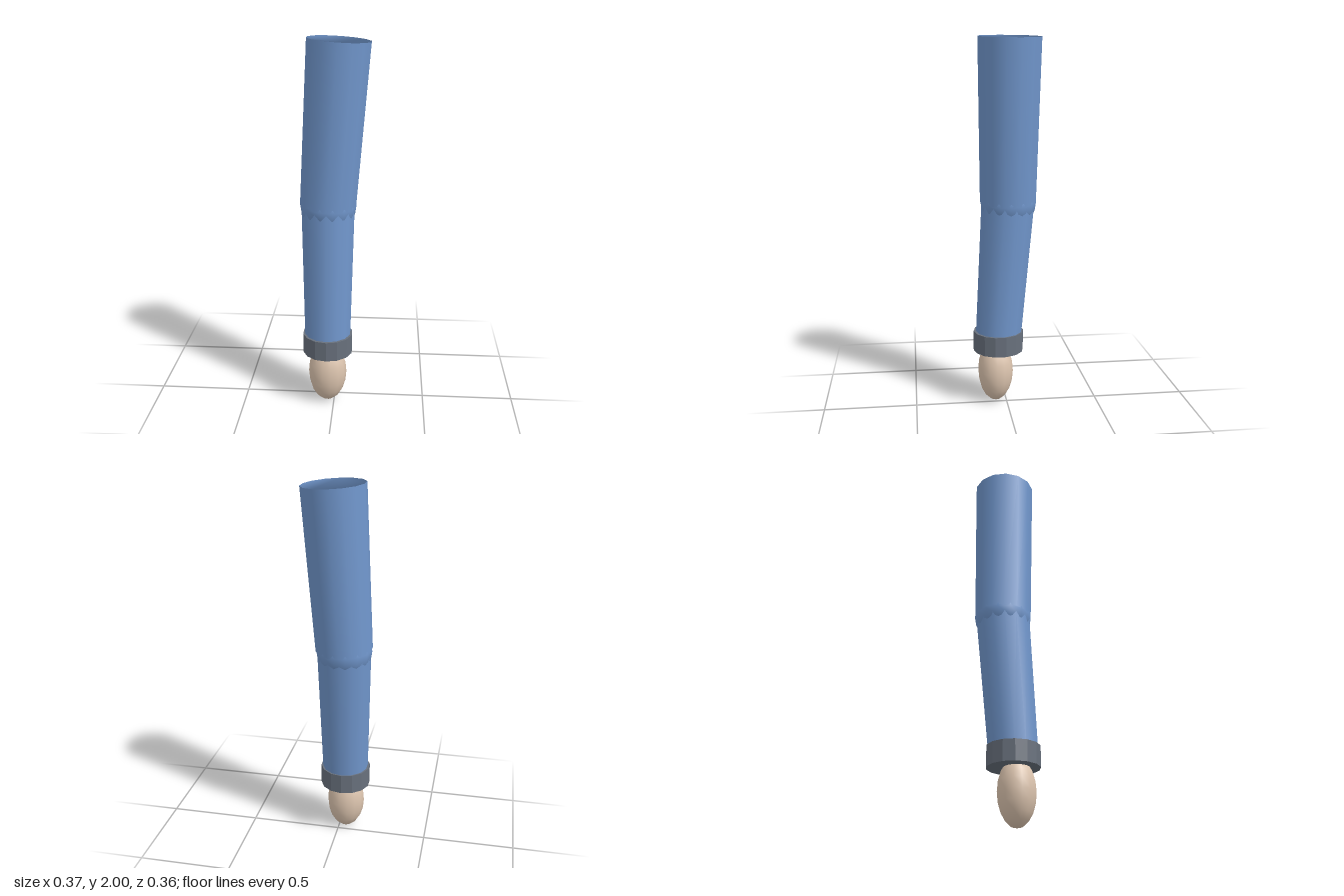
import * as THREE from 'three';

const SIDES = 14;

// Smooth tapered tube whose flat ends share the side normals
function sleeveGeometry(rTop, rBottom, length) {
  const g = new THREE.CylinderGeometry(rTop, rBottom, length, SIDES, 1, true);
  const index = Array.from(g.index.array);
  const o = SIDES + 1;
  for (let i = 1; i < SIDES - 1; i++) {
    index.push(0, i, i + 1);
    index.push(o, o + i + 1, o + i);
  }
  g.setIndex(index);
  return g;
}

export function createModel() {
  const group = new THREE.Group();
  group.name = 'arm';

  const material = (name, color) => {
    const m = new THREE.MeshStandardMaterial({ color });
    m.name = name;
    return m;
  };
  const blue = material('blue cloth', 0x7197cd);
  const grey = material('grey cuff', 0x68707c);
  grey.flatShading = true;
  const skin = material('skin', 0xdec6b0);

  const add = (name, geometry, mat, position) => {
    const mesh = new THREE.Mesh(geometry, mat);
    mesh.name = name;
    mesh.position.copy(position);
    group.add(mesh);
    return mesh;
  };

  // Sleeve section between two joints
  const addSleeve = (name, top, bottom, rTop, rBottom) => {
    const dir = top.clone().sub(bottom);
    const mesh = add(name, sleeveGeometry(rTop, rBottom, dir.length()), blue,
      top.clone().add(bottom).multiplyScalar(0.5));
    mesh.quaternion.setFromUnitVectors(new THREE.Vector3(0, 1, 0), dir.normalize());
  };

  const shoulder = new THREE.Vector3(0.02, 1.99, -0.015);
  const elbow = new THREE.Vector3(-0.036, 1.13, -0.012);
  const wrist = new THREE.Vector3(-0.036, 0.35, 0.043);

  addSleeve('upperSleeve', shoulder, elbow, 0.166, 0.151);
  addSleeve('lowerSleeve', elbow, wrist, 0.143, 0.125);

  // Elbow joint, just breaking through the lower sleeve
  add('elbow', new THREE.SphereGeometry(0.15, 14, 10), blue, elbow);

  // Faceted cuff
  add('cuff', new THREE.CylinderGeometry(0.137, 0.137, 0.11, SIDES), grey,
    new THREE.Vector3(-0.036, 0.355, 0.042));

  // Egg-shaped hand
  const hand = add('hand', new THREE.SphereGeometry(1, 14, 10), skin,
    new THREE.Vector3(-0.036, 0.18, 0.058));
  hand.scale.set(0.105, 0.175, 0.097);

  return group;
}
